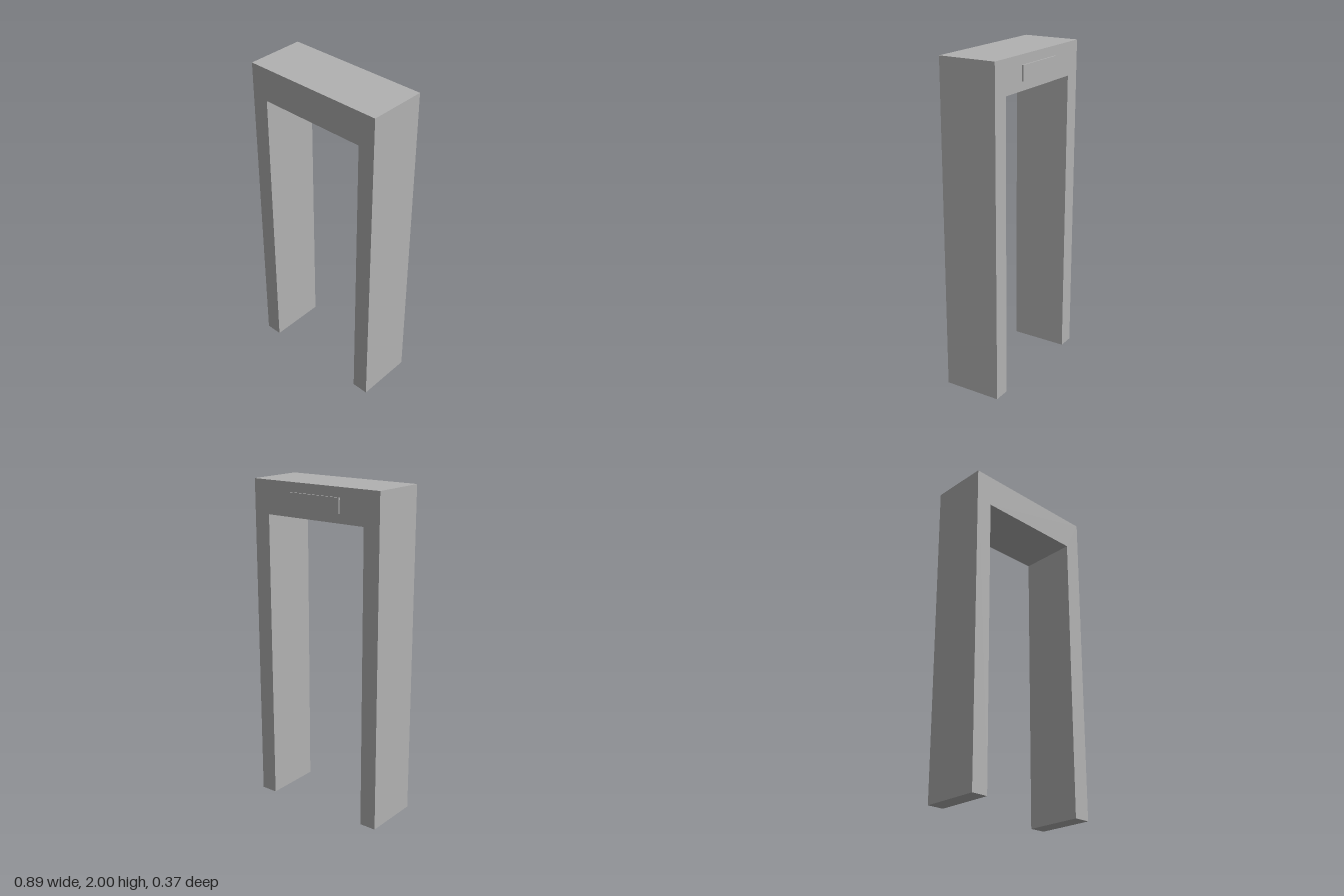
import * as THREE from 'three';

const grey = new THREE.MeshStandardMaterial({ color: 0xb2b2b2 });
grey.name = 'grey';

export function createModel() {
  const model = new THREE.Group();
  model.name = 'gateway';

  const W = 0.444, INNER = 0.34, H = 2, LINTEL = 1.8;
  const BACK = -0.174, FRONT = 0.182;

  // Upright frame: two posts and a lintel as one solid outline
  const outline = new THREE.Shape([
    [-W, 0], [-INNER, 0], [-INNER, LINTEL], [INNER, LINTEL],
    [INNER, 0], [W, 0], [W, H], [-W, H],
  ].map(([x, y]) => new THREE.Vector2(x, y)));
  const frameGeometry = new THREE.ExtrudeGeometry(outline, { depth: FRONT - BACK, bevelEnabled: false });
  frameGeometry.translate(0, 0, BACK);
  const frame = new THREE.Mesh(frameGeometry, grey);
  frame.name = 'frame';
  model.add(frame);

  // Thin raised panel on the back of the lintel
  const panel = new THREE.Mesh(new THREE.BoxGeometry(0.356, 0.089, 0.009), grey);
  panel.name = 'backPanel';
  panel.position.set(0, 1.898, BACK - 0.0045);
  model.add(panel);

  return model;
}
